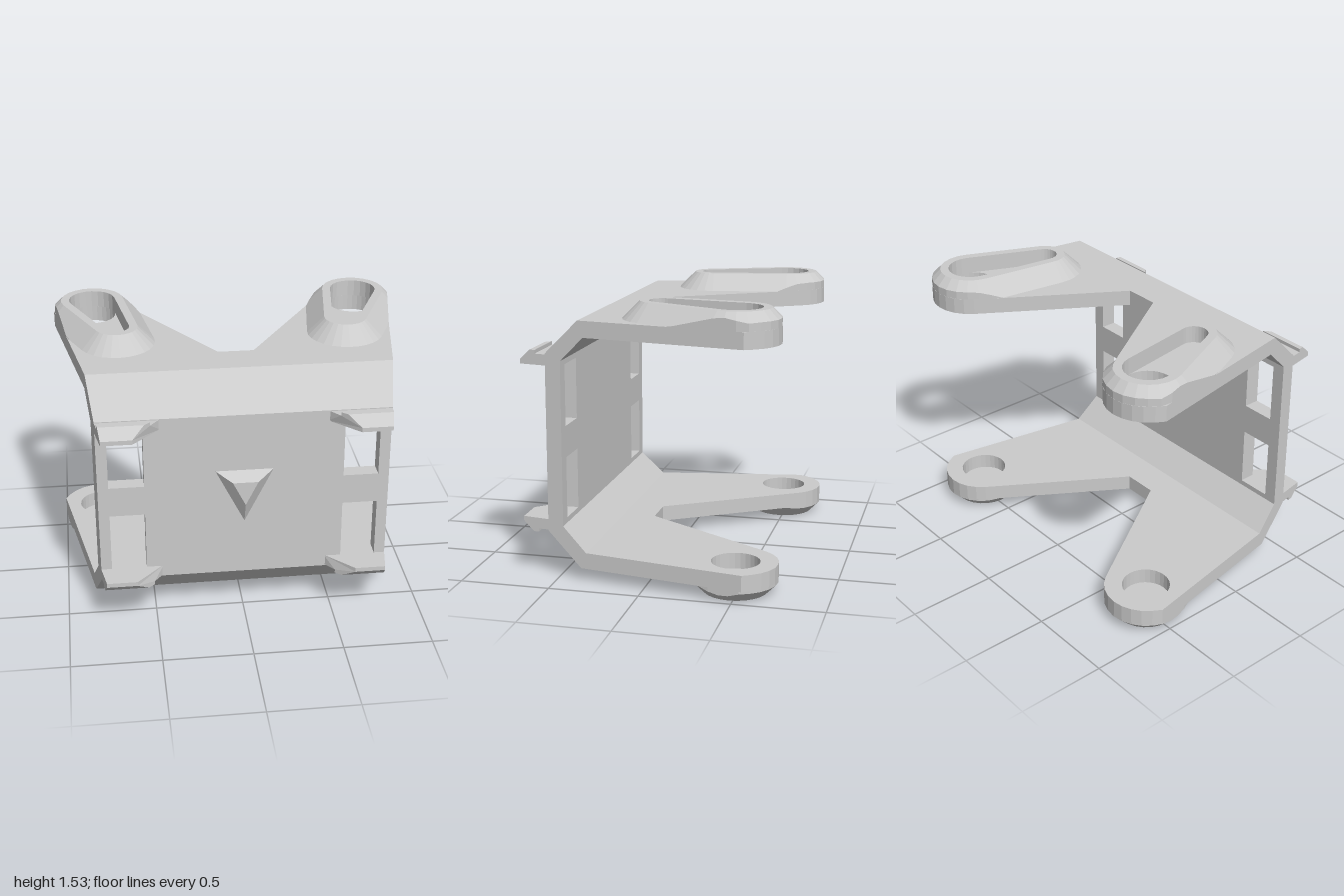
import * as THREE from 'three';

const material = new THREE.MeshStandardMaterial({ color: 0xcccccc, flatShading: true, side: THREE.DoubleSide });
const TOP = 1.435, UNDER = 1.345; // faces of the upper plate
const REAR = [0.775, -0.48], FRONT = [0.65, -0.05]; // pad centres (x, z)

// Sloping outer side of the whole bracket
const sideX = z => 1 - 0.175 * (z + 0.555);

function mesh(name, geometry) {
  const m = new THREE.Mesh(geometry, material);
  m.name = name;
  return m;
}

// Move every vertex by a rule, then rebuild normals
function bend(geometry, rule) {
  const p = geometry.attributes.position, v = new THREE.Vector3();
  for (let i = 0; i < p.count; i++) {
    v.fromBufferAttribute(p, i);
    rule(v);
    p.setXYZ(i, v.x, v.y, v.z);
  }
  geometry.computeVertexNormals();
  return geometry;
}

const shapeOf = pts => new THREE.Shape(pts.map(p => new THREE.Vector2(...p)));
const extrude = (shape, depth) =>
  new THREE.ExtrudeGeometry(shape, { depth, bevelEnabled: false, curveSegments: 14 });

// Extrude a (z, y) profile over x = -1..0
const alongX = pts => extrude(shapeOf(pts), 1).rotateY(-Math.PI / 2);

// Outline of the left arm as (x, -z), counter-clockwise
const arm = [[sideX(0.35), -0.35], [1, 0.555]];
for (let i = 1; i <= 9; i++) {
  const a = THREE.MathUtils.degToRad(18 + (129 * i) / 9);
  arm.push([REAR[0] + 0.232 * Math.cos(a), -REAR[1] + 0.232 * Math.sin(a)]);
}
arm.push([0.1, -0.145]);

function insideArm(x, s) {
  for (let i = 0; i < arm.length - 1; i++) {
    const [ax, as] = arm[i], [bx, bs] = arm[i + 1];
    if ((bx - ax) * (s - as) - (bs - as) * (x - ax) < -1e-6) return false;
  }
  return true;
}

// Horizontal plate with two arms and a round hole in each
function armPlate() {
  const mirrored = arm.map(([x, s]) => [-x, s]).reverse();
  const shape = shapeOf([...arm, ...mirrored]);
  for (const s of [1, -1]) {
    shape.holes.push(new THREE.Path().absarc(s * REAR[0], -REAR[1], 0.133, 0, Math.PI * 2, true));
  }
  const g = extrude(shape, TOP - UNDER).rotateX(-Math.PI / 2).translate(0, UNDER, 0);
  return bend(g, v => {
    if (v.z > 0.3) {
      v.z = v.y > 1.4 ? 0.365 : 0.335;
      v.x = Math.sign(v.x) * sideX(v.z);
    }
  });
}

// Ring around two centres with different radii
function capsuleRing(a, b, ra, rb, y) {
  const dx = a[0] - b[0], ds = b[1] - a[1], d = Math.hypot(dx, ds);
  const axis = Math.atan2(ds, dx), tilt = d > 0 ? Math.asin(0.06 / d) : 0;
  const pts = [], n = 12, straight = d > 0 ? 8 : 1;
  const arc = (c, r, from, to) => {
    for (let i = 0; i <= n; i++) {
      const t = from + ((to - from) * i) / n;
      pts.push(new THREE.Vector3(c[0] + r * Math.cos(t), y, c[1] - r * Math.sin(t)));
    }
  };
  const h = Math.PI / 2 + tilt;
  const join = (p, q) => {
    for (let i = 1; i < straight; i++) pts.push(p.clone().lerp(q, i / straight));
  };
  arc(a, ra, axis - h, axis + h);
  const start = pts[0], end = pts[n];
  const mark = pts.length;
  arc(b, rb, axis + h, axis + 2 * Math.PI - h);
  const second = pts.splice(mark);
  join(end, second[0]);
  pts.push(...second);
  join(second[n], start);
  return pts;
}

function loft(rings) {
  const pos = [];
  for (let j = 0; j < rings.length - 1; j++) {
    const a = rings[j], b = rings[j + 1];
    for (let i = 0; i < a.length; i++) {
      const k = (i + 1) % a.length;
      for (const v of [a[i], b[i], b[k], a[i], b[k], a[k]]) pos.push(v.x, v.y, v.z);
    }
  }
  const g = new THREE.BufferGeometry();
  g.setAttribute('position', new THREE.Float32BufferAttribute(pos, 3));
  g.computeVertexNormals();
  return g;
}

// Raised pad with 45 degree flanks, trimmed to the arm's edge
function pad(front, ra, rb, height, slotted) {
  const y = TOP + height;
  const ring = (p, q, h) => capsuleRing(REAR, front, p, q, h);
  const rim = ring(ra, rb, y);
  const foot = ring(ra + height, rb + height, TOP);
  const edge = rim.map((p, i) => {
    const q = foot[i];
    if (insideArm(q.x, -q.z)) return q;
    let lo = 0, hi = 1;
    for (let k = 0; k < 24; k++) {
      const t = (lo + hi) / 2, m = p.clone().lerp(q, t);
      if (insideArm(m.x, -m.z)) lo = t; else hi = t;
    }
    return p.clone().lerp(q, lo);
  });
  const base = edge.map(p => p.clone().setY(TOP));
  return loft(slotted
    ? [ring(0.133, 0.073, TOP), ring(0.133, 0.073, y), rim, edge, base]
    : [ring(0, 0, y), rim, edge, base, ring(0, 0, TOP)]);
}

// Upright front plate with four windows
function frontPlate() {
  const shape = shapeOf([[-0.8, 0.26], [0.8, 0.26], [0.8, 1.245], [-0.8, 1.245]]);
  for (const s of [1, -1]) {
    for (const [y0, y1] of [[0.325, 0.665], [0.84, 1.18]]) {
      shape.holes.push(shapeOf([[s * 0.55, y0], [s * 0.55, y1], [s * 0.745, y1], [s * 0.745, y0]]));
    }
  }
  return bend(extrude(shape, 0.09).translate(0, 0, 0.47), v => {
    if (Math.abs(v.x) > 0.79) {
      v.x = Math.sign(v.x) * sideX(v.z);
      if (v.z < 0.5) v.y = v.y > 0.75 ? 1.21 : 0.295;
    }
  });
}

// Hooked clip with a slanting inner side
function clip() {
  const g = alongX([[0.55, 1.18], [0.71, 1.18], [0.71, 1.205], [0.65, 1.26],
    [0.62, 1.26], [0.62, 1.24], [0.55, 1.24]]);
  return bend(g, v => {
    v.x = v.x > -0.5 ? sideX(v.z) : 0.455 + 0.155 * Math.max(0, (v.z - 0.57) / 0.14);
  });
}

// Truncated three-sided pointer on the front plate
function pointer() {
  const ring = (w, top, low, z) => [[-w, top], [0, low], [w, top]].map(p => new THREE.Vector3(p[0], p[1], z));
  const rim = ring(0.07, 0.86, 0.72, 0.615);
  const centre = rim.map(() => new THREE.Vector3(0, 0.81, 0.615));
  return loft([centre, rim, ring(0.16, 0.91, 0.59, 0.56)]);
}

export function createModel() {
  const model = new THREE.Group();
  model.name = 'mountingBracket';
  model.add(mesh('frontPlate', frontPlate()), mesh('pointer', pointer()));

  const plateGeo = armPlate();
  const bendGeo = bend(
    alongX([[0.335, UNDER], [0.47, 1.21], [0.56, 1.245], [0.365, TOP]]),
    v => { v.x = (v.x > -0.5 ? 1 : -1) * sideX(v.z); });
  const clipGeo = clip();
  const pads = {
    upper: pad(FRONT, 0.18, 0.12, 0.095, true),
    lower: pad(REAR, 0.175, 0.175, 0.07, false),
  };

  // The lower half mirrors the upper one, apart from its pads
  for (const level of ['upper', 'lower']) {
    const half = new THREE.Group();
    half.name = level + 'Half';
    half.add(mesh('armPlate', plateGeo), mesh('slopedBend', bendGeo));
    for (const s of [1, -1]) {
      const sideGroup = new THREE.Group();
      sideGroup.name = s > 0 ? 'leftSide' : 'rightSide';
      sideGroup.scale.x = s;
      sideGroup.add(mesh('clip', clipGeo), mesh(level === 'upper' ? 'slottedPad' : 'roundFoot', pads[level]));
      half.add(sideGroup);
    }
    if (level === 'lower') {
      half.scale.y = -1;
      half.position.y = 1.505;
    }
    model.add(half);
  }
  return model;
}
